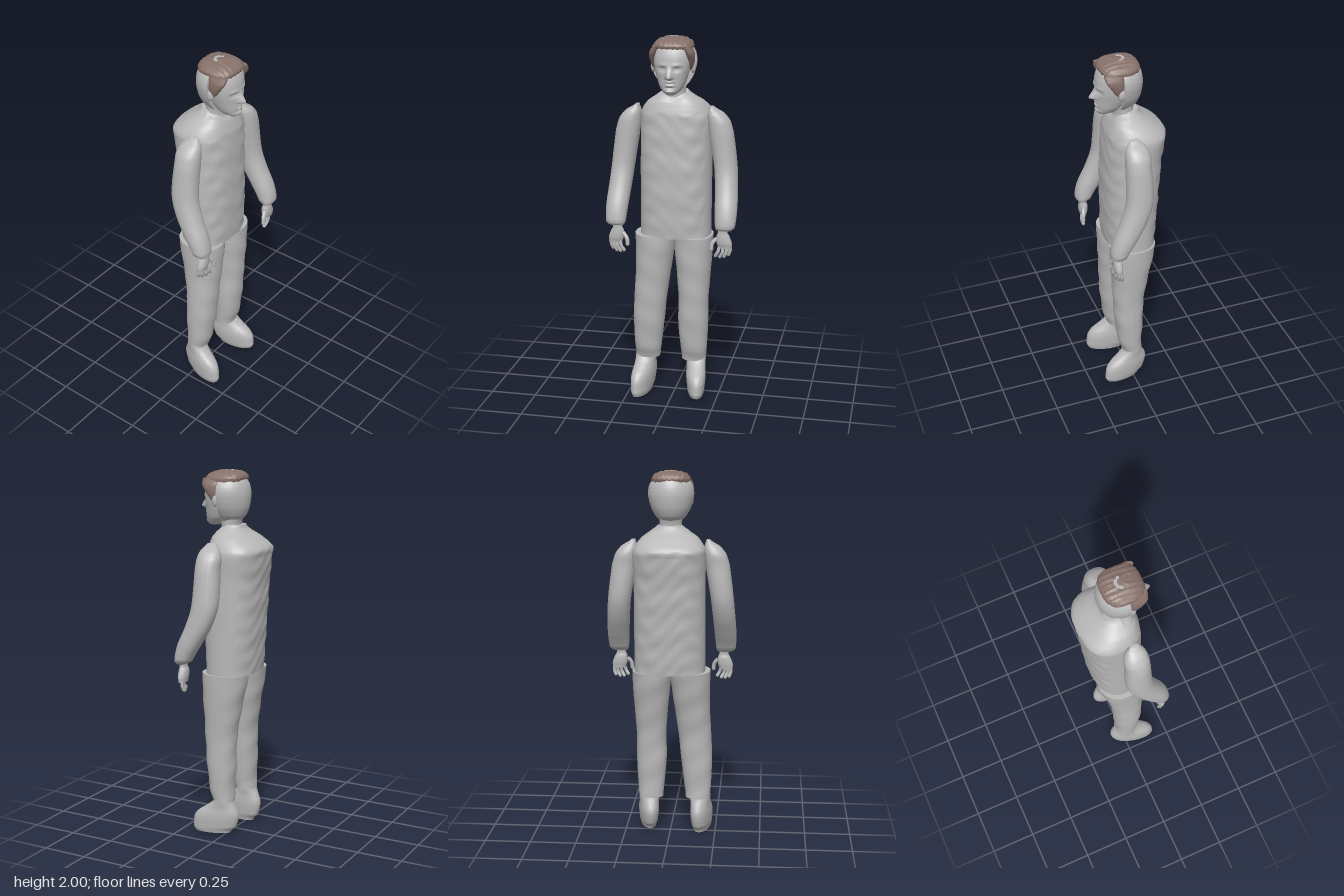
import * as THREE from 'three';
import { toCreasedNormals } from 'three/addons/utils/BufferGeometryUtils.js';

const grey = new THREE.MeshStandardMaterial({ color: 0xb8b8b8 });
grey.name = 'grey';
const brown = new THREE.MeshStandardMaterial({ color: 0x87716a });
brown.name = 'hairBrown';

// Smooth stack of horizontal rings; each ring: [y, xMin, xMax, zMin, zMax], bottom to top
function loft(rings, { seg = 40, steps = 5, n = 2.2, warp = null, crease = 0.9 } = {}) {
  const rows = [];
  for (let i = 0; i < rings.length - 1; i++) {
    for (let s = 0; s < steps; s++) {
      const t = s / steps;
      rows.push(rings[i].map((p1, k) => {
        const p2 = rings[i + 1][k];
        if (k === 0) return p1 + (p2 - p1) * t;
        const p0 = rings[Math.max(i - 1, 0)][k];
        const p3 = rings[Math.min(i + 2, rings.length - 1)][k];
        const m1 = (p2 - p0) / 2, m2 = (p3 - p1) / 2;
        const t2 = t * t, t3 = t2 * t;
        return p1 * (2 * t3 - 3 * t2 + 1) + m1 * (t3 - 2 * t2 + t) + p2 * (3 * t2 - 2 * t3) + m2 * (t3 - t2);
      }));
    }
  }
  rows.push(rings[rings.length - 1]);
  const pos = [], index = [], v = new THREE.Vector3();
  const add = (x, y, z) => {
    v.set(x, y, z);
    if (warp) warp(v);
    pos.push(v.x, v.y, v.z);
  };
  const pow = (c) => Math.sign(c) * Math.abs(c) ** (2 / n);
  for (const [y, x0, x1, z0, z1] of rows) {
    for (let j = 0; j < seg; j++) {
      const a = (j / seg) * Math.PI * 2;
      add((x0 + x1) / 2 + pow(Math.cos(a)) * (x1 - x0) / 2, y, (z0 + z1) / 2 + pow(Math.sin(a)) * (z1 - z0) / 2);
    }
  }
  const last = rows.length - 1;
  for (let r = 0; r < last; r++) {
    for (let j = 0; j < seg; j++) {
      const a = r * seg + j, b = r * seg + (j + 1) % seg;
      index.push(a, a + seg, b, b, a + seg, b + seg);
    }
  }
  // end caps
  for (const r of [0, last]) {
    const [y, x0, x1, z0, z1] = rows[r], c = pos.length / 3;
    add((x0 + x1) / 2, y, (z0 + z1) / 2);
    for (let j = 0; j < seg; j++) {
      const a = r * seg + j, b = r * seg + (j + 1) % seg;
      if (r === 0) index.push(c, a, b); else index.push(c, b, a);
    }
  }
  const g = new THREE.BufferGeometry();
  g.setAttribute('position', new THREE.Float32BufferAttribute(pos, 3));
  g.setIndex(index);
  return toCreasedNormals(g, crease);
}

const bump = (v, x, y, sx, sy) => Math.exp(-(((v.x - x) / sx) ** 2) - ((v.y - y) / sy) ** 2);

export function createModel() {
  const model = new THREE.Group();
  const add = (name, geometry, material = grey, parent = model) => {
    const m = new THREE.Mesh(geometry, material);
    m.name = name;
    parent.add(m);
    return m;
  };

  // jacket body with soft cloth wrinkles
  add('jacket', loft([
    [0.92, -0.19, 0.195, -0.14, 0.125], [1.1, -0.19, 0.195, -0.153, 0.13], [1.3, -0.19, 0.195, -0.167, 0.13],
    [1.45, -0.19, 0.195, -0.178, 0.125], [1.56, -0.19, 0.2, -0.193, 0.12], [1.6, -0.185, 0.19, -0.19, 0.115],
    [1.65, -0.15, 0.155, -0.13, 0.1], [1.69, -0.095, 0.1, -0.075, 0.085], [1.715, -0.065, 0.07, -0.06, 0.07],
  ], { seg: 72, steps: 9, n: 2.4, warp: (v) => {
    const w = 0.0035 * Math.sin(v.y * 52 + 3 * Math.sin(v.x * 17)) * Math.sin(v.x * 31 + v.y * 13 + 1);
    v.z += Math.abs(v.x) < 0.17 && v.y < 1.6 ? w * Math.sign(v.z) : 0;
    // collar dips at the throat
    if (v.z > 0.02 && v.y > 1.66) v.y -= 0.035 * Math.exp(-((v.x / 0.06) ** 2));
  } }));

  // trousers
  const cuffs = (v) => { v.z += 0.002 * Math.sin(v.y * 40 + v.x * 20); };
  add('leftTrouserLeg', loft([
    [0.2, 0.04, 0.175, -0.05, 0.062], [0.26, 0.035, 0.18, -0.05, 0.08], [0.42, 0.022, 0.188, -0.058, 0.1],
    [0.55, 0.025, 0.188, -0.062, 0.108], [0.7, 0.015, 0.197, -0.085, 0.115], [0.82, 0.003, 0.205, -0.11, 0.123],
    [0.925, -0.005, 0.208, -0.128, 0.125],
  ], { warp: cuffs }));
  add('rightTrouserLeg', loft([
    [0.2, -0.22, -0.085, -0.05, 0.062], [0.26, -0.225, -0.077, -0.05, 0.08], [0.42, -0.23, -0.058, -0.058, 0.1],
    [0.55, -0.225, -0.045, -0.062, 0.108], [0.7, -0.217, -0.025, -0.085, 0.115], [0.82, -0.217, -0.008, -0.11, 0.123],
    [0.925, -0.218, 0.004, -0.128, 0.125],
  ], { warp: cuffs }));

  // shoes, toes slightly turned out
  for (const [name, s, x, y0] of [['leftShoe', 1, 0.118, 0.018], ['rightShoe', -1, 0.165, 0]]) {
    add(name, loft([
      [0, -0.042, 0.042, -0.035, 0.165], [0.02, -0.047, 0.047, -0.045, 0.174], [0.035, -0.05, 0.05, -0.065, 0.174],
      [0.09, -0.055, 0.055, -0.08, 0.168], [0.125, -0.055, 0.055, -0.08, 0.145], [0.16, -0.053, 0.053, -0.066, 0.1],
      [0.19, -0.055, 0.055, -0.052, 0.065], [0.215, -0.056, 0.056, -0.045, 0.05],
    ], { n: 2.1, warp: (v) => {
      v.x = s * x + v.x + s * 0.17 * v.z;
      v.y = y0 + v.y * (0.215 - y0) / 0.215;
    } }));
  }

  // arms and hands
  const arm = [
    [1.0, 0.25, 0.335, 0.125, 0.18], [1.015, 0.243, 0.35, 0.1, 0.19], [1.1, 0.236, 0.355, 0.048, 0.173],
    [1.2, 0.228, 0.35, -0.01, 0.13], [1.3, 0.218, 0.342, -0.045, 0.098], [1.4, 0.203, 0.331, -0.05, 0.09],
    [1.5, 0.187, 0.317, -0.045, 0.088], [1.56, 0.18, 0.298, -0.045, 0.085], [1.6, 0.18, 0.265, -0.03, 0.075],
    [1.635, 0.19, 0.212, 0.0, 0.05],
  ];
  const palm = [
    [0.9, 0.262, 0.335, 0.13, 0.165], [0.93, 0.252, 0.335, 0.125, 0.172], [0.965, 0.252, 0.322, 0.125, 0.172],
    [0.985, 0.26, 0.312, 0.13, 0.17], [1.02, 0.262, 0.315, 0.125, 0.17],
  ];
  // finger paths: start, knuckle, tip as x, y, z
  const fingers = [
    [[0.256, 0.955, 0.155], [0.232, 0.925, 0.165], [0.228, 0.895, 0.168]],
    [[0.271, 0.91, 0.162], [0.263, 0.88, 0.165], [0.25, 0.858, 0.16]],
    [[0.289, 0.91, 0.153], [0.286, 0.876, 0.158], [0.272, 0.85, 0.152]],
    [[0.307, 0.91, 0.145], [0.306, 0.877, 0.148], [0.294, 0.851, 0.143]],
    [[0.324, 0.91, 0.138], [0.325, 0.884, 0.138], [0.316, 0.86, 0.134]],
  ];
  for (const s of [1, -1]) {
    const side = s > 0 ? 'left' : 'right';
    const mirror = (rings) => rings.map(([y, a, b, c, d]) => (s > 0 ? [y, a, b, c, d] : [y, -b, -a, c, d]));
    add(side + 'Sleeve', loft(mirror(arm)));
    const hand = new THREE.Group();
    hand.name = side + 'Hand';
    model.add(hand);
    add('palm', loft(mirror(palm), { seg: 24 }), grey, hand);
    fingers.forEach((path, i) => {
      const pts = path.map(([x, y, z]) => new THREE.Vector3(x * s, y, z));
      const r = i === 0 ? 0.011 : 0.0095;
      add('finger', new THREE.TubeGeometry(new THREE.CatmullRomCurve3(pts), 8, r, 10), grey, hand);
      add('fingertip', new THREE.SphereGeometry(r, 10, 8), grey, hand).position.copy(pts[2]);
    });
  }

  // head
  const head = new THREE.Group();
  head.name = 'head';
  model.add(head);
  add('neck', loft([
    [1.64, -0.065, 0.065, -0.035, 0.07], [1.72, -0.06, 0.06, -0.035, 0.068], [1.78, -0.065, 0.065, -0.05, 0.09],
  ]), grey, head);

  // face with sculpted sockets, nose, lips and chin
  add('face', loft([
    [1.708, -0.025, 0.025, 0.085, 0.145], [1.722, -0.045, 0.045, 0.05, 0.158], [1.75, -0.065, 0.065, 0.02, 0.16],
    [1.79, -0.08, 0.08, 0.0, 0.16], [1.84, -0.092, 0.092, 0.0, 0.162], [1.9, -0.098, 0.098, 0.0, 0.158],
    [1.945, -0.093, 0.093, 0.0, 0.142], [1.975, -0.07, 0.07, 0.01, 0.11], [1.985, -0.04, 0.04, 0.03, 0.08],
  ], { seg: 96, steps: 10, n: 2.1, crease: 1.4, warp: (v) => {
    if (v.z < 0.09) return;
    const ridge = THREE.MathUtils.clamp((1.862 - v.y) / 0.055, 0, 1);
    const under = THREE.MathUtils.smoothstep(v.y, 1.786, 1.803);
    v.z += 0.038 * ridge * under * Math.exp(-((v.x / (0.01 + 0.007 * ridge)) ** 2));
    for (const s of [1, -1]) {
      v.z -= 0.014 * bump(v, s * 0.037, 1.843, 0.019, 0.011);
      v.z += 0.006 * bump(v, s * 0.037, 1.841, 0.01, 0.006);
      v.z += 0.005 * bump(v, s * 0.037, 1.866, 0.028, 0.008);
    }
    v.z += 0.008 * bump(v, 0, 1.777, 0.024, 0.006) + 0.008 * bump(v, 0, 1.76, 0.02, 0.006);
    v.z -= 0.006 * bump(v, 0, 1.7685, 0.027, 0.003) + 0.006 * bump(v, 0, 1.746, 0.025, 0.006);
    v.z += 0.006 * bump(v, 0, 1.728, 0.025, 0.01);
  } }), grey, head);

  // rounded back of the skull with a flat front edge
  add('skull', loft([
    [1.735, -0.06, 0.06, -0.035, 0.1], [1.76, -0.082, 0.082, -0.06, 0.12], [1.8, -0.105, 0.105, -0.077, 0.15],
    [1.85, -0.12, 0.12, -0.085, 0.17], [1.89, -0.123, 0.123, -0.085, 0.17], [1.93, -0.113, 0.113, -0.076, 0.16],
    [1.965, -0.085, 0.085, -0.055, 0.13], [1.978, -0.05, 0.05, -0.03, 0.1],
  ], { seg: 64, n: 2, warp: (v) => { v.z = Math.min(v.z, 0.045); } }), grey, head);
  for (const s of [1, -1]) {
    const ear = add(s > 0 ? 'leftEar' : 'rightEar', new THREE.SphereGeometry(1, 16, 12), grey, head);
    ear.scale.set(0.014, 0.032, 0.02);
    ear.position.set(s * 0.106, 1.845, 0.055);
  }

  // hair: crown with combed ripples, then locks beside the face
  const comb = (v) => { v.y += 0.0025 * Math.sin(v.x * 230 + v.z * 15); };
  add('hairCrown', loft([
    [1.945, -0.103, 0.103, -0.058, 0.142], [1.96, -0.103, 0.103, -0.064, 0.147], [1.978, -0.09, 0.09, -0.056, 0.132],
    [1.991, -0.066, 0.066, -0.035, 0.105], [1.998, -0.035, 0.035, -0.005, 0.075],
  ], { seg: 96, n: 2.8, warp: comb }), brown, head);
  for (const s of [1, -1]) {
    add('sideHair', loft([
      [1.83, 0.09, 0.102, 0.048, 0.068], [1.85, 0.087, 0.11, 0.046, 0.088], [1.89, 0.082, 0.118, 0.046, 0.115],
      [1.925, 0.076, 0.116, 0.046, 0.137], [1.96, 0.065, 0.098, 0.03, 0.142],
    ].map(([y, a, b, c, d]) => (s > 0 ? [y, a, b, c, d] : [y, -b, -a, c, d])), { seg: 24, n: 3 }), brown, head);
  }
  // thin arched patch on top of the crown
  const patch = add('crownPatch', new THREE.RingGeometry(0.02, 0.036, 24, 1, 0, Math.PI), grey, head);
  patch.rotation.x = -Math.PI / 2;
  patch.position.set(-0.003, 2.0, 0.042);
  return model;
}
